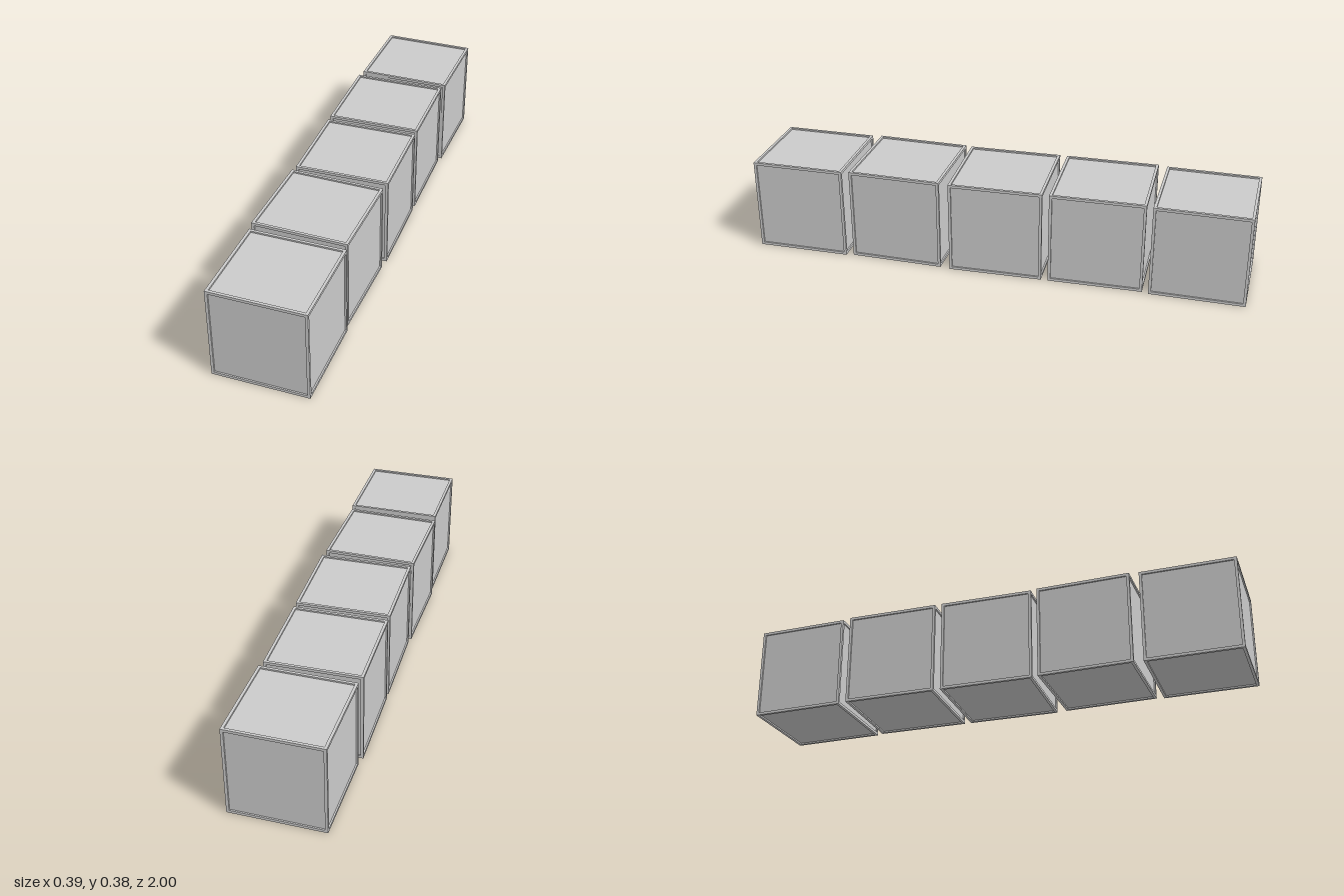
import * as THREE from 'three';

const SIZE = 0.375;   // crate edge length
const BAR = 0.011;    // frame bar thickness
const RECESS = 0.006; // panel depth below the frame

const material = new THREE.MeshStandardMaterial({ color: 0xcccccc, flatShading: true });

// One crate: a core whose faces are the recessed panels, plus twelve edge bars
function createCrate() {
  const crate = new THREE.Group();

  const inner = SIZE - 2 * RECESS;
  const panels = new THREE.Mesh(new THREE.BoxGeometry(inner, inner, inner), material);
  panels.name = 'recessedPanels';
  crate.add(panels);

  const frame = new THREE.Group();
  frame.name = 'edgeFrame';
  const offset = (SIZE - BAR) / 2;
  for (const axis of ['x', 'y', 'z']) {
    const [u, v] = ['x', 'y', 'z'].filter((a) => a !== axis);
    // Upright bars run full height; the others fit between them
    const size = { x: BAR, y: BAR, z: BAR };
    size[axis] = axis === 'y' ? SIZE : SIZE - 2 * BAR;
    const geometry = new THREE.BoxGeometry(size.x, size.y, size.z);
    for (const su of [-1, 1]) {
      for (const sv of [-1, 1]) {
        const bar = new THREE.Mesh(geometry, material);
        bar.name = 'frameBar';
        bar.position[u] = su * offset;
        bar.position[v] = sv * offset;
        frame.add(bar);
      }
    }
  }
  crate.add(frame);
  return crate;
}

export function createModel() {
  const model = new THREE.Group();
  model.name = 'crateRow';

  // Slightly uneven row, front to back: [x, z, turn]
  const placements = [
    [0, 0.8125, 0],
    [-0.004, 0.405, -0.02],
    [0.002, -0.002, 0.02],
    [-0.005, -0.405, 0.015],
    [0.003, -0.81, -0.012],
  ];
  placements.forEach(([x, z, turn], i) => {
    const crate = createCrate();
    crate.name = `crate${i + 1}`;
    crate.position.set(x, SIZE / 2, z);
    crate.rotation.y = turn;
    model.add(crate);
  });
  return model;
}
